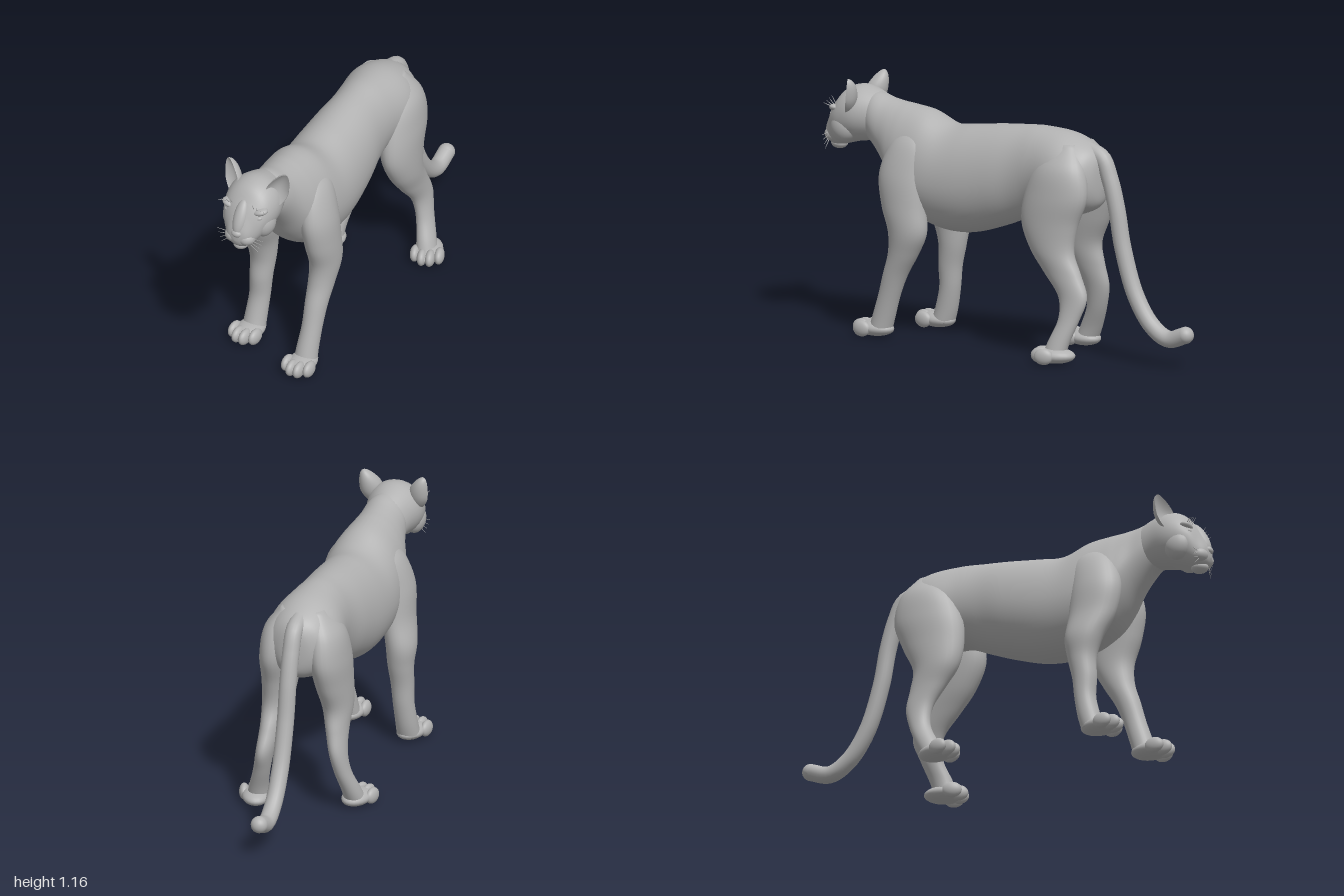
import * as THREE from 'three';

const fur = new THREE.MeshStandardMaterial({ color: 0xb2b2b2 });
fur.name = 'grey fur';

function add(parent, name, geometry) {
  const mesh = new THREE.Mesh(geometry, fur);
  mesh.name = name;
  parent.add(mesh);
  return mesh;
}

// Smoothly fills in rows between the given cross-sections
function refine(rows, steps) {
  const out = [];
  for (let i = 0; i < rows.length - 1; i++) {
    const a = rows[Math.max(i - 1, 0)], b = rows[i], c = rows[i + 1], d = rows[Math.min(i + 2, rows.length - 1)];
    for (let s = 0; s < steps; s++) {
      const t = s / steps;
      out.push(b.map((_, k) => b[k] + 0.5 * t * (c[k] - a[k]
        + t * (2 * a[k] - 5 * b[k] + 4 * c[k] - d[k] + t * (3 * (b[k] - c[k]) + d[k] - a[k])))));
    }
  }
  out.push(rows[rows.length - 1]);
  return out;
}

// Closed skin through rings; point(row, angle) gives each corner
function loft(rows, point, sides = 36, steps = 6) {
  const rings = refine(rows, steps), pos = [], idx = [];
  for (const row of rings) {
    for (let j = 0; j < sides; j++) pos.push(...point(row, (j / sides) * Math.PI * 2));
  }
  const at = (i, j) => i * sides + (j % sides);
  for (let i = 0; i < rings.length - 1; i++) {
    for (let j = 0; j < sides; j++) {
      idx.push(at(i, j), at(i, j + 1), at(i + 1, j), at(i + 1, j), at(i, j + 1), at(i + 1, j + 1));
    }
  }
  for (const end of [0, rings.length - 1]) {
    const centre = [0, 0, 0], n = pos.length / 3;
    for (let j = 0; j < sides; j++) for (let k = 0; k < 3; k++) centre[k] += pos[at(end, j) * 3 + k] / sides;
    pos.push(...centre);
    for (let j = 0; j < sides; j++) {
      if (end === 0) idx.push(n, at(0, j + 1), at(0, j));
      else idx.push(n, at(end, j), at(end, j + 1));
    }
  }
  // Signed volume tells whether the skin faces outward
  const v = (i) => new THREE.Vector3().fromArray(pos, i * 3);
  let volume = 0;
  for (let i = 0; i < idx.length; i += 3) volume += v(idx[i]).dot(v(idx[i + 1]).cross(v(idx[i + 2])));
  if (volume < 0) idx.reverse();
  const g = new THREE.BufferGeometry();
  g.setAttribute('position', new THREE.Float32BufferAttribute(pos, 3));
  g.setIndex(idx);
  g.computeVertexNormals();
  return g;
}

// Torso ring: z, top y, bottom y, half width, height of the widest point
const trunkRing = ([z, top, bottom, w, f], a) => {
  const mid = bottom + (top - bottom) * f, s = Math.sin(a);
  return [w * Math.cos(a), mid + s * (s > 0 ? top - mid : mid - bottom), z];
};
// Leg ring: y, z, x, half depth, half width
const legRing = ([y, z, x, rz, rx], a) => [x + rx * Math.cos(a), y, z + rz * Math.sin(a)];

function blob(parent, name, [rx, ry, rz], [x, y, z]) {
  const mesh = add(parent, name, new THREE.SphereGeometry(1, 24, 16).scale(rx, ry, rz));
  mesh.position.set(x, y, z);
  return mesh;
}

function hair(parent, name, from, to) {
  const a = new THREE.Vector3(...from), b = new THREE.Vector3(...to);
  const mesh = add(parent, name, new THREE.CylinderGeometry(0.0008, 0.0022, a.distanceTo(b), 5));
  mesh.position.copy(a).lerp(b, 0.5);
  mesh.quaternion.setFromUnitVectors(new THREE.Vector3(0, 1, 0), b.sub(a).normalize());
}

function paw(parent, name, x, tipZ, yaw) {
  const g = new THREE.Group();
  g.name = name;
  g.position.set(x, 0.003, tipZ - 0.105);
  g.rotation.y = yaw;
  blob(g, 'pad', [0.064, 0.036, 0.095], [0, 0.036, 0]);
  for (const i of [-1.5, -0.5, 0.5, 1.5]) {
    blob(g, 'toe', [0.023, 0.037, 0.045], [i * 0.037, 0.037, 0.066 - 0.013 * i * i]);
  }
  parent.add(g);
}

// Dished ear shell: round back, hollow front
function ear(parent, side) {
  const g = new THREE.SphereGeometry(1, 28, 20), p = g.attributes.position;
  for (let i = 0; i < p.count; i++) {
    const x = p.getX(i), y = p.getY(i), z = p.getZ(i), r2 = Math.min(1, x * x + y * y);
    p.setXYZ(i, x * 0.052 * (1 - 0.3 * Math.max(0, y)), y * 0.092, z > 0 ? -0.03 * (1 - r2) : z * 0.048);
  }
  g.computeVertexNormals();
  const mesh = add(parent, 'ear', g);
  mesh.position.set(side * 0.118, 1.075, 0.815);
  mesh.rotation.set(-0.1, side * 0.5, -side * 0.38);
}

function makeHead() {
  const head = new THREE.Group();
  head.name = 'head';
  add(head, 'skull', loft([
    [0.62, 1.05, 0.82, 0.07, 0.5], [0.72, 1.095, 0.86, 0.105, 0.5], [0.8, 1.115, 0.855, 0.128, 0.5],
    [0.87, 1.095, 0.838, 0.122, 0.52], [0.92, 1.04, 0.825, 0.1, 0.58], [0.955, 0.985, 0.825, 0.07, 0.5],
    [0.98, 0.935, 0.845, 0.045, 0.5], [0.99, 0.905, 0.87, 0.012, 0.5]], trunkRing));
  blob(head, 'noseBridge', [0.033, 0.085, 0.03], [0, 0.975, 0.943]).rotation.x = -0.5;
  blob(head, 'nose', [0.026, 0.018, 0.02], [0, 0.908, 0.98]);
  blob(head, 'chin', [0.036, 0.026, 0.04], [0, 0.831, 0.936]);
  for (const s of [-1, 1]) {
    ear(head, s);
    blob(head, 'muzzlePad', [0.042, 0.036, 0.043], [s * 0.032, 0.876, 0.945]);
    blob(head, 'cheek', [0.05, 0.07, 0.065], [s * 0.076, 0.925, 0.86]);
    blob(head, 'brow', [0.04, 0.018, 0.032], [s * 0.075, 1.005, 0.9]).rotation.z = s * 0.25;
    blob(head, 'eye', [0.02, 0.012, 0.015], [s * 0.076, 0.978, 0.917]).rotation.z = s * 0.25;
    for (let i = 0; i < 4; i++) {
      hair(head, 'whisker', [s * 0.058, 0.885 - i * 0.012, 0.955], [s * (0.118 - i * 0.008), 0.882 - i * 0.022, 0.95]);
      hair(head, 'browHair', [s * (0.055 + i * 0.016), 1.018, 0.918], [s * (0.057 + i * 0.021), 1.055 - i * 0.008, 0.94]);
    }
  }
  head.position.x = -0.01;
  return head;
}

export function createModel() {
  const model = new THREE.Group();
  model.name = 'bigCat';

  add(model, 'body', loft([
    [-0.515, 0.88, 0.78, 0.02, 0.5], [-0.5, 0.935, 0.71, 0.08, 0.5], [-0.45, 0.98, 0.67, 0.14, 0.5],
    [-0.34, 1.022, 0.64, 0.172, 0.5], [-0.2, 1.035, 0.64, 0.152, 0.5], [-0.1, 1.03, 0.6, 0.15, 0.5],
    [0.02, 1.02, 0.553, 0.168, 0.48], [0.17, 1.003, 0.508, 0.182, 0.47], [0.3, 0.992, 0.502, 0.186, 0.47],
    [0.42, 1.04, 0.53, 0.185, 0.43], [0.52, 1.056, 0.59, 0.17, 0.4], [0.58, 1.062, 0.66, 0.148, 0.42],
    [0.64, 1.072, 0.755, 0.12, 0.47], [0.71, 1.09, 0.84, 0.1, 0.5], [0.77, 1.08, 0.88, 0.07, 0.5]], trunkRing, 48));
  model.add(makeHead());

  // Legs: shared shoulders and hips, each lower leg in its own stride
  const shoulder = (s) => [
    [0.98, 0.46, s * 0.075, 0.03, 0.02], [0.9, 0.465, s * 0.115, 0.095, 0.055], [0.76, 0.485, s * 0.14, 0.12, 0.075],
    [0.62, 0.472, s * 0.152, 0.113, 0.073]];
  const hip = (s) => [
    [0.98, -0.37, s * 0.07, 0.04, 0.03], [0.88, -0.355, s * 0.105, 0.125, 0.074], [0.75, -0.34, s * 0.12, 0.163, 0.083],
    [0.62, -0.312, s * 0.128, 0.147, 0.077]];
  const legs = {
    leftFrontLeg: [...shoulder(1),
      [0.5, 0.45, 0.155, 0.097, 0.068], [0.4, 0.475, 0.15, 0.075, 0.06], [0.3, 0.52, 0.147, 0.06, 0.052],
      [0.2, 0.555, 0.145, 0.053, 0.047], [0.1, 0.588, 0.14, 0.054, 0.05], [0.03, 0.61, 0.138, 0.055, 0.054]],
    rightFrontLeg: [...shoulder(-1),
      [0.5, 0.44, -0.175, 0.09, 0.07], [0.4, 0.432, -0.175, 0.067, 0.06], [0.3, 0.445, -0.178, 0.057, 0.053],
      [0.2, 0.45, -0.182, 0.05, 0.049], [0.1, 0.472, -0.188, 0.053, 0.051], [0.03, 0.495, -0.19, 0.055, 0.054]],
    leftHindLeg: [...hip(1),
      [0.5, -0.33, 0.135, 0.112, 0.066], [0.4, -0.39, 0.14, 0.096, 0.05], [0.3, -0.452, 0.15, 0.075, 0.04],
      [0.2, -0.445, 0.17, 0.053, 0.038], [0.1, -0.41, 0.197, 0.053, 0.043], [0.03, -0.39, 0.21, 0.055, 0.05]],
    rightHindLeg: [...hip(-1),
      [0.5, -0.295, -0.14, 0.11, 0.066], [0.4, -0.33, -0.15, 0.085, 0.05], [0.3, -0.365, -0.165, 0.064, 0.04],
      [0.2, -0.355, -0.182, 0.05, 0.038], [0.1, -0.31, -0.205, 0.053, 0.043], [0.03, -0.275, -0.215, 0.055, 0.05]],
  };
  for (const [name, rows] of Object.entries(legs)) add(model, name, loft(rows, legRing, 28));
  paw(model, 'leftFrontPaw', 0.138, 0.743, 0);
  paw(model, 'rightFrontPaw', -0.193, 0.633, -0.1);
  paw(model, 'leftHindPaw', 0.215, -0.295, 0.3);
  paw(model, 'rightHindPaw', -0.218, -0.15, -0.2);

  // Tail hangs behind and curls up at the tip
  const path = new THREE.CatmullRomCurve3([
    [0.95, -0.43], [0.92, -0.505], [0.83, -0.548], [0.7, -0.585], [0.52, -0.62], [0.31, -0.69],
    [0.18, -0.78], [0.13, -0.87], [0.158, -0.962]].map(([y, z]) => new THREE.Vector3(-0.005, y, z)));
  add(model, 'tail', new THREE.TubeGeometry(path, 60, 0.039, 18));
  blob(model, 'tailTip', [0.039, 0.039, 0.039], [-0.005, 0.158, -0.962]);

  return model;
}
